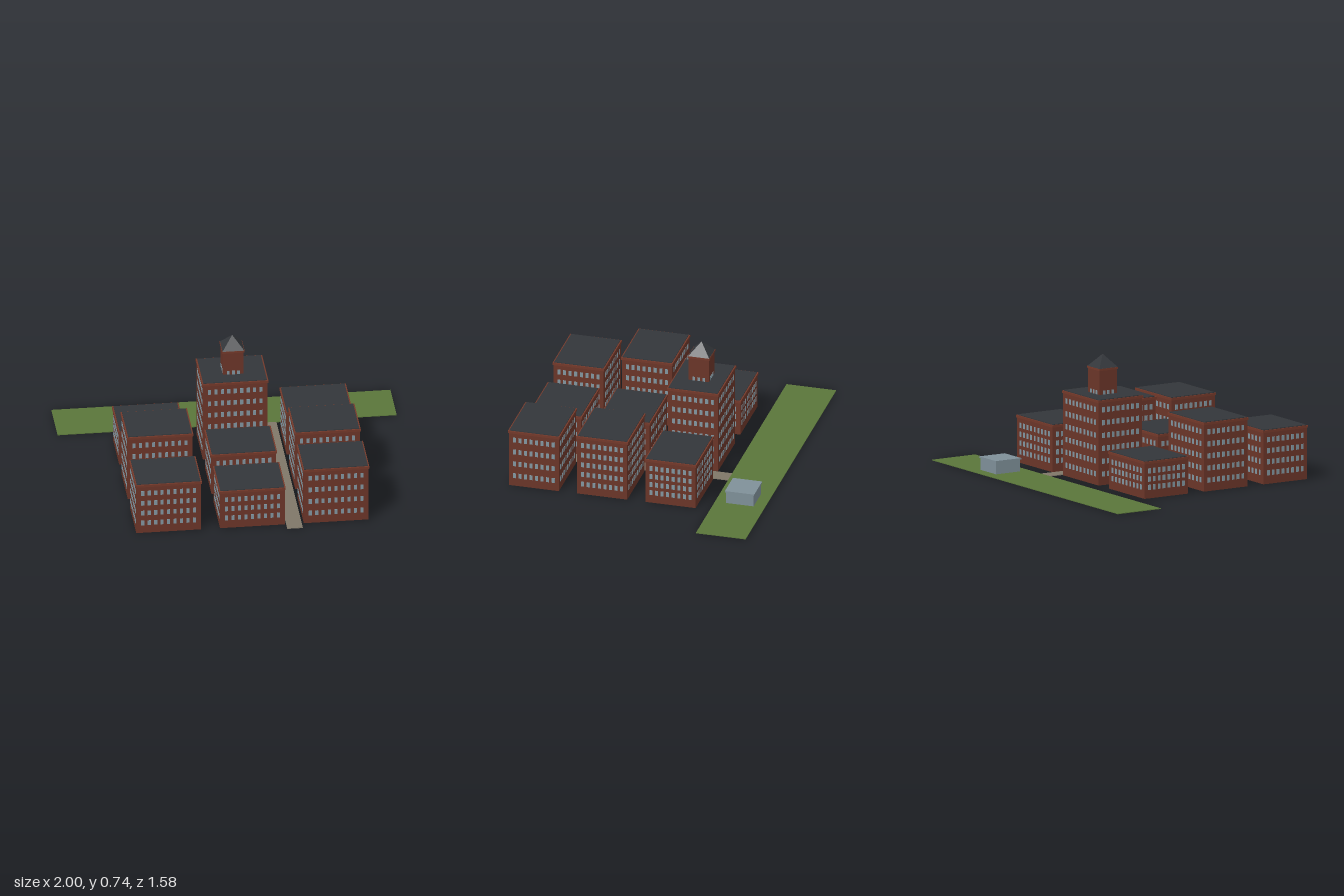
import * as THREE from 'three';
import { mergeGeometries } from 'three/addons/utils/BufferGeometryUtils.js';

const mat = (color) => new THREE.MeshStandardMaterial({ color });
const brick = mat(0x6b3528);
const trim = mat(0x74392a);
const slate = mat(0x33363a);
const pane = mat(0x8296a0);
const grass = mat(0x5a763a);
const paving = mat(0x7f7768);
const glass = mat(0x7f9099);

// Box standing on height y0
function block(name, w, h, d, x, y0, z, material) {
  const mesh = new THREE.Mesh(new THREE.BoxGeometry(w, h, d), material);
  mesh.name = name;
  mesh.position.set(x, y0 + h / 2, z);
  return mesh;
}

// Rows of window panes on all four walls, merged into one mesh
function windows(w, d, columnsX, columnsZ, heights, paneW, paneH) {
  const panes = [];
  const t = 0.004;
  const add = (sx, sz, x, y, z) =>
    panes.push(new THREE.BoxGeometry(sx, paneH, sz).translate(x, y, z));
  for (const y of heights) {
    for (const side of [-1, 1]) {
      for (let i = 1; i <= columnsX; i++) {
        add(paneW, t, (i / (columnsX + 1) - 0.5) * w, y, (side * d) / 2);
      }
      for (let i = 1; i <= columnsZ; i++) {
        add(t, paneW, (side * w) / 2, y, (i / (columnsZ + 1) - 0.5) * d);
      }
    }
  }
  const mesh = new THREE.Mesh(mergeGeometries(panes), pane);
  mesh.name = 'windows';
  return mesh;
}

// Brick block with cornice, flat roof and a window grid
function building(name, height, floors) {
  const g = new THREE.Group();
  g.name = name;
  const w = 0.382, d = 0.304;
  g.add(block('walls', w, height - 0.018, d, 0, 0, 0, brick));
  g.add(block('cornice', 0.392, 0.014, 0.314, 0, height - 0.018, 0, trim));
  g.add(block('flatRoof', 0.376, 0.005, 0.298, 0, height - 0.005, 0, slate));
  const low = 0.066, high = height - 0.061;
  const heights = Array.from({ length: floors }, (_, i) => low + ((high - low) * i) / (floors - 1));
  g.add(windows(w, d, 9, 8, heights, 0.018, 0.031));
  return g;
}

// Square tower with a pyramid roof
function tower() {
  const g = new THREE.Group();
  g.name = 'tower';
  const w = 0.122;
  g.add(block('towerWalls', w, 0.15, w, 0, 0, 0, brick));
  g.add(block('towerCornice', 0.132, 0.012, 0.132, 0, 0.148, 0, trim));
  const roofGeometry = new THREE.ConeGeometry(0.064 * Math.SQRT2, 0.075, 4, 1).rotateY(Math.PI / 4);
  const roof = new THREE.Mesh(roofGeometry, slate.clone());
  roof.material.flatShading = true;
  roof.name = 'pyramidRoof';
  roof.position.y = 0.16 + 0.0375;
  g.add(roof);
  g.add(windows(w, w, 3, 3, [0.016], 0.016, 0.025));
  return g;
}

export function createModel() {
  const model = new THREE.Group();
  model.name = 'campus';

  // Three rows of three buildings: [height, floors] from -x to +x
  const columns = [['West', -0.494], ['Centre', 0], ['East', 0.494]];
  const rows = [
    ['back', -0.249, [[0.225, 3], [0.51, 6], [0.285, 4]]],
    ['middle', 0.166, [[0.415, 5], [0.265, 3], [0.38, 5]]],
    ['front', 0.581, [[0.325, 4], [0.25, 3], [0.36, 4]]],
  ];
  for (const [rowName, z, sizes] of rows) {
    sizes.forEach(([height, floors], i) => {
      const [columnName, x] = columns[i];
      const b = building(`${rowName}${columnName}Building`, height, floors);
      b.position.set(x, 0, z);
      model.add(b);
    });
  }

  const mainTower = tower();
  mainTower.position.set(0, 0.505, -0.249);
  model.add(mainTower);

  // Lawn, footpath and glass pavilion
  model.add(block('lawn', 2, 0.004, 0.302, 0, 0, -0.641, grass));
  model.add(block('path', 0.092, 0.004, 1.28, 0.245, 0, 0.15, paving));
  const pavilion = new THREE.Group();
  pavilion.name = 'pavilion';
  pavilion.add(block('pavilionWalls', 0.168, 0.076, 0.168, 0.497, 0, -0.641, glass));
  pavilion.add(block('pavilionRoof', 0.178, 0.008, 0.178, 0.497, 0.076, -0.641, glass));
  model.add(pavilion);
  return model;
}
